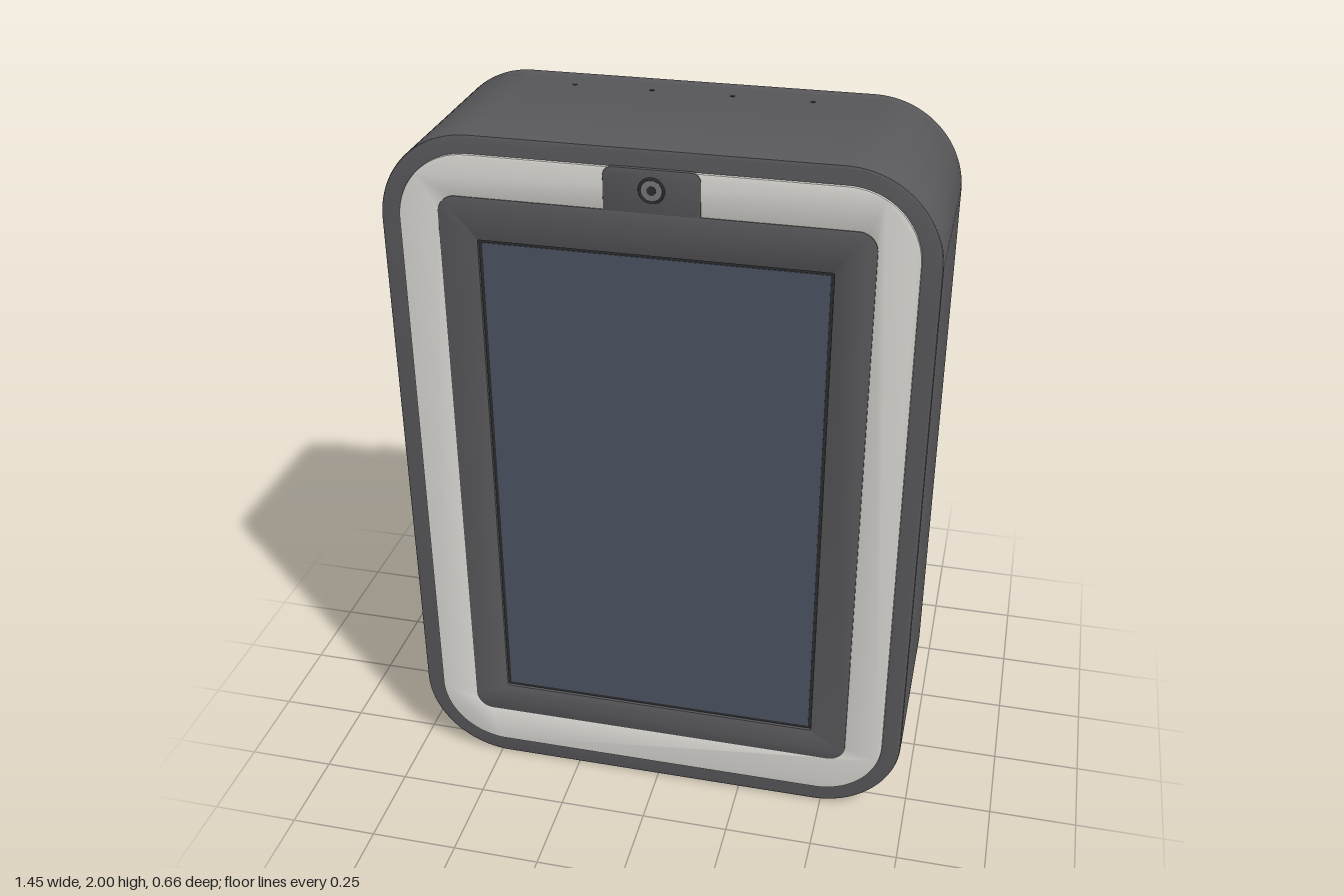
import * as THREE from 'three';
import { toCreasedNormals } from 'three/addons/utils/BufferGeometryUtils.js';

const mat = (color) => new THREE.MeshStandardMaterial({ color });
const casing = mat(0x58575a), light = mat(0xdad8d3), glass = mat(0x4b5361);
const dark = mat(0x2c2c2f), metal = mat(0x77777c), blue = mat(0x3d5273);

// Rounded rectangle from its edges, as a Shape or a Path
function roundRect(x0, y0, x1, y1, r, Kind = THREE.Shape) {
  const p = new Kind();
  p.moveTo(x0 + r, y0);
  p.lineTo(x1 - r, y0).absarc(x1 - r, y0 + r, r, -Math.PI / 2, 0, false);
  p.lineTo(x1, y1 - r).absarc(x1 - r, y1 - r, r, 0, Math.PI / 2, false);
  p.lineTo(x0 + r, y1).absarc(x0 + r, y1 - r, r, Math.PI / 2, Math.PI, false);
  p.lineTo(x0, y0 + r).absarc(x0 + r, y0 + r, r, Math.PI, Math.PI * 1.5, false);
  return p;
}
const slot = (x, y, w, h) => roundRect(x - w / 2, y - h / 2, x + w / 2, y + h / 2, Math.min(w, h) * 0.45, THREE.Path);
const round = (x, y, r) => new THREE.Path().absarc(x, y, r, 0, Math.PI * 2, false);

function polygon(points) {
  return new THREE.Shape(points.map(([x, y]) => new THREE.Vector2(x, y)));
}

export function createModel() {
  const model = new THREE.Group();

  const add = (name, geo, material, parent = model) => {
    const m = new THREE.Mesh(geo, material);
    m.name = name;
    parent.add(m);
    return m;
  };
  // Extrude a shape from z0 to z1, with an optional edge bevel
  const plate = (name, shape, z0, z1, material, bevel = 0, parent = model) => {
    const geo = new THREE.ExtrudeGeometry(shape, {
      depth: z1 - z0 - 2 * bevel, bevelEnabled: bevel > 0, bevelSize: bevel, bevelOffset: -bevel,
      bevelThickness: bevel, bevelSegments: 2, curveSegments: 18,
    });
    geo.translate(0, 0, z0 + bevel);
    return add(name, toCreasedNormals(geo, 0.5), material, parent);
  };
  const box = (name, x0, x1, y0, y1, z0, z1, material, parent = model) => {
    const m = add(name, new THREE.BoxGeometry(x1 - x0, y1 - y0, z1 - z0), material, parent);
    m.position.set((x0 + x1) / 2, (y0 + y1) / 2, (z0 + z1) / 2);
    return m;
  };
  // Disc whose axis is 'y' or 'z'
  const disc = (name, x, y, z, r, h, axis, material, parent = model) => {
    const m = add(name, new THREE.CylinderGeometry(r, r, h, 24), material, parent);
    if (axis === 'z') m.rotation.x = Math.PI / 2;
    m.position.set(x, y, z);
    return m;
  };

  // Main housing and the raised rim around its back
  plate('housing', roundRect(-0.725, 0, 0.725, 2, 0.25), -0.208, 0.315, casing, 0.007);
  const rim = roundRect(-0.725, 0, 0.725, 2, 0.25);
  rim.holes.push(roundRect(-0.67, 0.055, 0.67, 1.945, 0.195, THREE.Path));
  plate('backRim', rim, -0.235, -0.2, casing, 0.004);

  // Front: light ring, bezel with camera tab, screen
  const ring = roundRect(-0.672, 0.055, 0.672, 1.95, 0.19);
  ring.holes.push(roundRect(-0.56, 0.178, 0.56, 1.832, 0.045, THREE.Path));
  plate('lightRing', ring, 0.3, 0.323, light, 0.003);
  const bezel = roundRect(-0.565, 0.172, 0.565, 1.838, 0.05);
  bezel.holes.push(roundRect(-0.462, 0.27, 0.462, 1.722, 0.004, THREE.Path));
  plate('bezel', bezel, 0.3, 0.325, casing, 0.002);
  plate('cameraTab', roundRect(-0.125, 1.80, 0.125, 1.952, 0.025), 0.3, 0.325, casing, 0.002);
  box('screenBorder', -0.462, 0.462, 0.27, 1.722, 0.3, 0.3165, dark);
  box('screen', -0.453, 0.453, 0.279, 1.713, 0.3, 0.318, glass);
  const camera = new THREE.Group();
  camera.name = 'camera';
  model.add(camera);
  add('cameraRing', new THREE.TorusGeometry(0.031, 0.004, 8, 32), dark, camera).position.set(0, 1.897, 0.324);
  disc('cameraLens', 0, 1.897, 0.3205, 0.027, 0.011, 'z', metal, camera);
  disc('cameraPupil', 0, 1.897, 0.322, 0.012, 0.01, 'z', dark, camera);

  // Back panel pierced by vents, cable slots and the speaker grille
  const panel = roundRect(-0.655, 0.07, 0.655, 1.93, 0.18);
  for (const s of [-1, 1]) {
    for (let i = 0; i < 4; i++) panel.holes.push(slot(s * (0.54 + i * 0.028), 1.73, 0.013, 0.14));
    for (let i = 0; i < 11; i++) panel.holes.push(slot(s * (0.225 + i * 0.036), 1.56, 0.016, 0.065));
    for (const x of [0.325, 0.37]) panel.holes.push(slot(s * x, 1.15, 0.018, 0.25));
  }
  for (let row = -5; row <= 5; row++) {
    for (let col = -6; col <= 6; col++) {
      const x = (col + (row % 2 ? 0.5 : 0)) * 0.024, y = row * 0.0215;
      if (Math.hypot(x, y) < 0.128) {
        const hole = polygon([0, 1, 2, 3, 4, 5].map((k) => {
          const a = (k + 0.5) * Math.PI / 3;
          return [-0.42 + x + 0.009 * Math.cos(a), 0.51 + y + 0.009 * Math.sin(a)];
        }));
        panel.holes.push(hole);
      }
    }
  }
  for (const x of [-0.57, 0.57]) for (const y of [0.15, 1.85]) panel.holes.push(round(x, y, 0.025));
  plate('backPanel', panel, -0.228, -0.205, casing);
  box('ventFloor', -0.64, 0.64, 0.35, 1.82, -0.2095, -0.2, dark);

  // Panel screws and side clips
  for (const x of [-1, 1]) {
    for (const y of [0.15, 1.85]) disc('panelScrew', x * 0.57, y, -0.212, 0.018, 0.02, 'z', metal);
    for (const y of [0.45, 1.6]) box('sideClip', x * 0.655 - 0.012, x * 0.655 + 0.012, y - 0.04, y + 0.04, -0.231, -0.2, dark);
  }

  // Mounting bracket: wide head, stem and a slanted foot
  const bracket = new THREE.Group();
  bracket.name = 'bracket';
  model.add(bracket);
  const mount = polygon([
    [-0.41, 1.85], [-0.41, 1.56], [-0.39, 1.54], [-0.2, 1.54], [-0.2, 0.33], [-0.45, 0.23],
    [-0.45, 0.08], [-0.43, 0.07], [-0.41, 0.07], [0.2, 0.22], [0.2, 1.54], [0.39, 1.54],
    [0.41, 1.56], [0.41, 1.85], [0.39, 1.87], [-0.39, 1.87],
  ]);
  for (const [x, y] of [[-0.32, 1.6], [0.32, 1.6], [0, 0.82], [0, 0.45]]) mount.holes.push(round(x, y, 0.014));
  plate('bracketPlate', mount, -0.33, -0.305, casing, 0, bracket);

  // Hook bar with a sloped underside, run along x
  const hook = new THREE.ExtrudeGeometry(
    polygon([[0.225, 1.72], [0.31, 1.645], [0.31, 1.79], [0.225, 1.79]]), { depth: 0.76, bevelEnabled: false });
  hook.rotateY(Math.PI / 2).rotateY(Math.PI);
  hook.rotateY(Math.PI / 2).rotateY(-Math.PI / 2);
  hook.computeBoundingBox();
  const b = hook.boundingBox;
  hook.translate(-(b.min.x + b.max.x) / 2, 0, 0);
  if (b.max.z > 0) hook.rotateY(Math.PI);
  add('hookBar', hook, casing, bracket);

  // Stand-off tabs along the stem and at the foot
  for (const x of [-0.19, 0.19]) box('stemTab', x - 0.01, x + 0.01, 0.625, 0.69, -0.31, -0.225, casing, bracket);
  box('stemTab', 0.18, 0.2, 0.235, 0.295, -0.31, -0.225, casing, bracket);
  box('footBlock', -0.43, -0.36, 0.12, 0.235, -0.31, -0.225, casing, bracket);
  box('footLatch', -0.43, -0.32, 0.225, 0.25, -0.31, -0.225, casing, bracket);

  // Underside: two vent groups, sensor window, small ports
  for (const s of [-1, 1]) {
    for (let i = 0; i < 9; i++) {
      const x = s * 0.28 + (i - 4) * 0.028;
      box('bottomVent', x - 0.005, x + 0.005, -0.0005, 0.004, -0.13, -0.03, dark);
    }
    disc('bottomPort', s * 0.115, 0.002, -0.08, 0.012, 0.006, 'y', metal);
    disc('bottomScrew', s * 0.48, 0.002, -0.14, 0.015, 0.006, 'y', dark);
  }
  disc('sensorWindow', 0, 0.003, -0.08, 0.072, 0.01, 'y', blue);

  // Pinholes along the top
  for (const x of [-0.325, -0.11, 0.11, 0.325]) disc('topPinhole', x, 1.998, -0.13, 0.007, 0.006, 'y', dark);

  return model;
}
